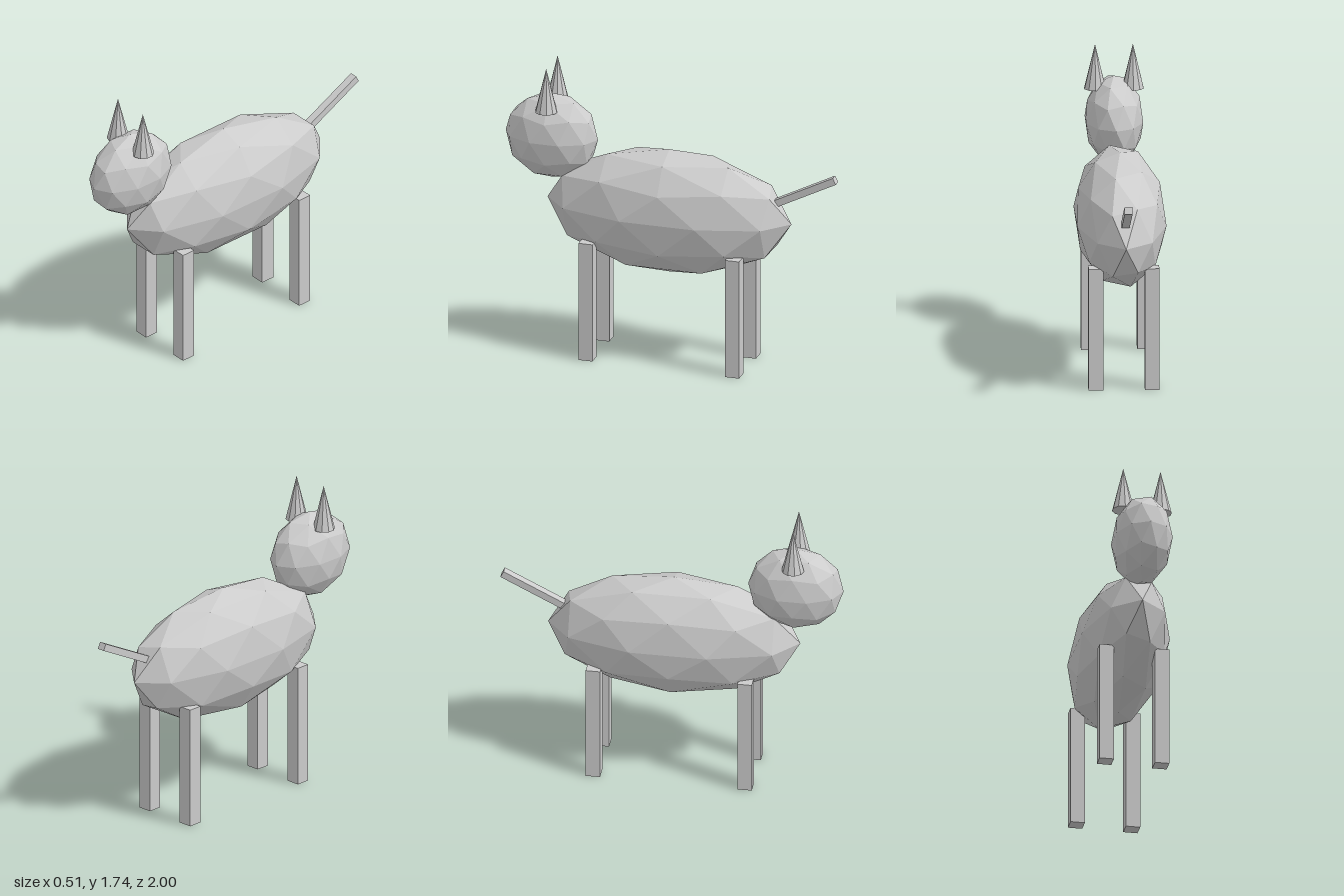
import * as THREE from 'three';

export function createModel() {
  const model = new THREE.Group();
  const clay = new THREE.MeshStandardMaterial({ color: 0xcccccc, flatShading: true });
  clay.name = 'light grey';

  function add(name, geometry, x, y, z) {
    const mesh = new THREE.Mesh(geometry, clay);
    mesh.name = name;
    mesh.position.set(x, y, z);
    model.add(mesh);
    return mesh;
  }

  // Faceted ellipsoid: an 80-sided icosphere turned so a corner points straight up
  function ellipsoid(rx, ry, rz) {
    const geometry = new THREE.IcosahedronGeometry(1, 1);
    geometry.rotateZ(-Math.atan(2 / (1 + Math.sqrt(5))));
    geometry.scale(rx, ry, rz);
    geometry.computeVertexNormals();
    return geometry;
  }

  add('body', ellipsoid(0.27, 0.378, 0.735), 0, 0.907, 0.013);
  add('head', ellipsoid(0.173, 0.259, 0.278), 0, 1.29, 0.722);

  // Ears and legs, mirrored left and right
  for (const [side, s] of [['left', 1], ['right', -1]]) {
    add(side + 'Ear', new THREE.ConeGeometry(0.065, 0.265, 10), s * 0.109, 1.607, 0.722);
    for (const [end, z] of [['Front', 0.456], ['Back', -0.428]]) {
      add(side + end + 'Leg', new THREE.BoxGeometry(0.084, 0.722, 0.084), s * 0.162, 0.361, z);
    }
  }

  // Tail, sloping up and back from the rump
  const tail = add('tail', new THREE.BoxGeometry(0.046, 0.042, 0.46), 0, 1.108, -0.782);
  tail.rotation.x = 0.471;

  return model;
}
